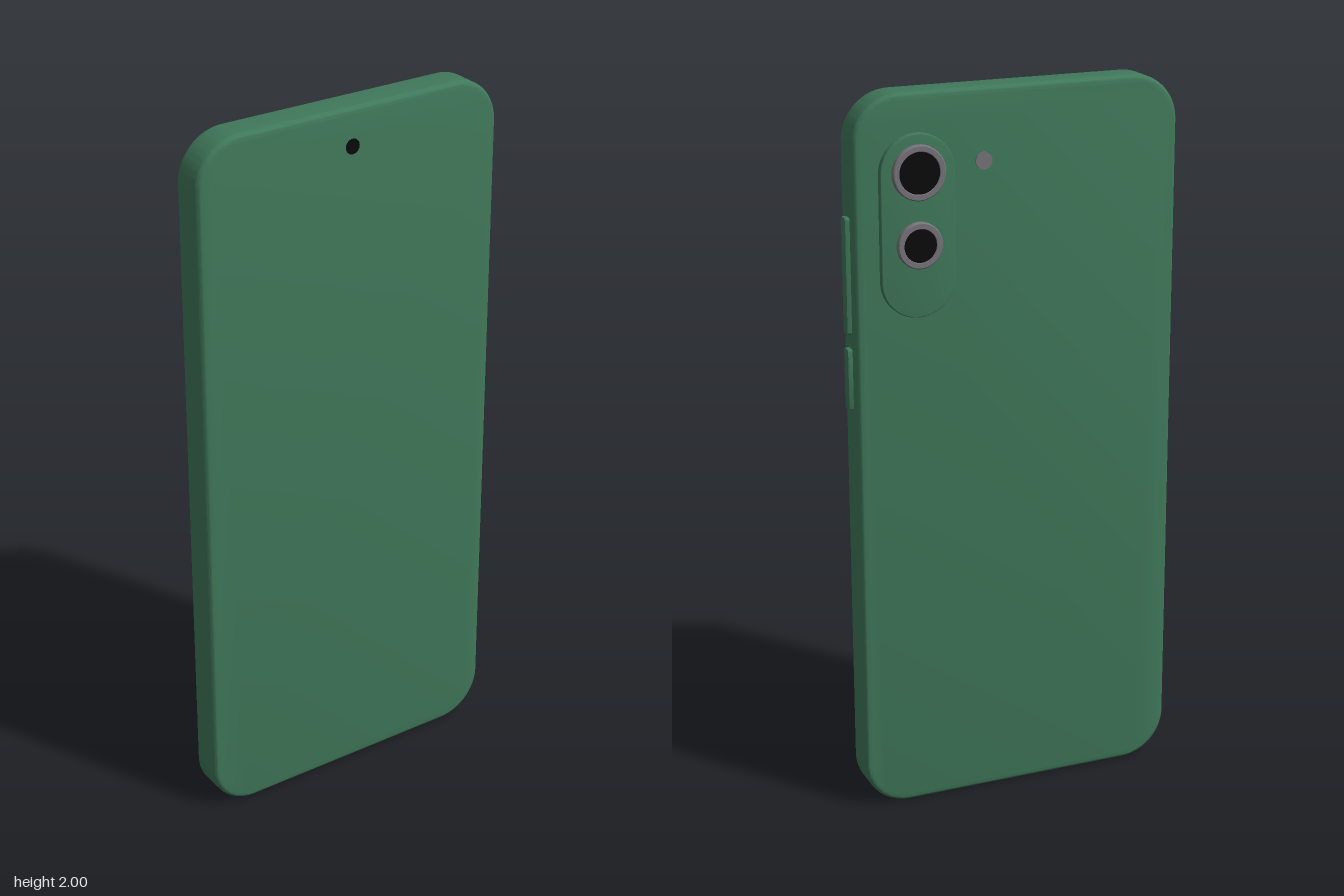
import * as THREE from 'three';
import { toCreasedNormals } from 'three/addons/utils/BufferGeometryUtils.js';

const paint = (name, color) => {
  const m = new THREE.MeshStandardMaterial({ color });
  m.name = name;
  return m;
};

// Rounded rectangle slab, centred on the origin, with softened front and back edges
function slab(w, h, d, r, bevel, steps) {
  const x = w / 2 - bevel, y = h / 2 - bevel, c = r - bevel;
  const s = new THREE.Shape();
  s.absarc(x - c, y - c, c, 0, Math.PI / 2);
  s.absarc(-x + c, y - c, c, Math.PI / 2, Math.PI);
  s.absarc(-x + c, -y + c, c, Math.PI, Math.PI * 1.5);
  s.absarc(x - c, -y + c, c, Math.PI * 1.5, Math.PI * 2);
  const g = new THREE.ExtrudeGeometry(s, {
    depth: d - 2 * bevel, bevelThickness: bevel, bevelSize: bevel,
    bevelSegments: steps, curveSegments: 12,
  });
  g.translate(0, 0, -d / 2 + bevel);
  return toCreasedNormals(g, 0.5);
}

export function createModel() {
  const phone = new THREE.Group();
  phone.name = 'phone';
  const green = paint('green shell', 0x40785a);
  const metal = paint('grey metal', 0x76747a);
  const black = paint('black glass', 0x0a0a0b);

  const add = (name, geometry, material, x, y, z) => {
    const m = new THREE.Mesh(geometry, material);
    m.name = name;
    m.position.set(x, y, z);
    phone.add(m);
    return m;
  };
  // Short cylinder whose axis runs along z
  const disc = (r, d) => new THREE.CylinderGeometry(r, r, d, 32).rotateX(Math.PI / 2);

  // Body and front camera
  add('body', slab(0.92, 2, 0.103, 0.13, 0.016, 5), green, -0.007, 1, 0.0115);
  add('frontCamera', disc(0.021, 0.004), black, -0.007, 1.897, 0.062);

  // Side buttons: [name, centre height, length]
  for (const [name, y, length] of [['volumeButton', 1.524, 0.314], ['powerButton', 1.244, 0.168]]) {
    const g = slab(0.033, length, 0.03, 0.008, 0.003, 2).rotateY(Math.PI / 2);
    add(name, g, green, 0.451, y, 0.012);
  }

  // Rear camera island
  add('cameraIsland', slab(0.206, 0.487, 0.03, 0.1029, 0.004, 3), green, 0.283, 1.653, -0.0425);

  // Lenses: metal collar with a chamfered lip around black glass
  for (const [name, y, r] of [['upperLens', 1.796, 0.073], ['lowerLens', 1.605, 0.062]]) {
    const profile = [[r, 0], [r, 0.015], [r - 0.003, 0.018], [r - 0.016, 0.018], [r - 0.018, 0.014]]
      .map(([x, h]) => new THREE.Vector2(x, h));
    const collar = toCreasedNormals(new THREE.LatheGeometry(profile, 40).rotateX(-Math.PI / 2), 0.4);
    add(name + 'Collar', collar, metal, 0.283, y, -0.054);
    add(name + 'Glass', disc(r - 0.0175, 0.014), black, 0.283, y, -0.0632);
  }

  // Flash
  add('flash', disc(0.023, 0.005), metal, 0.102, 1.812, -0.0605);
  return phone;
}
